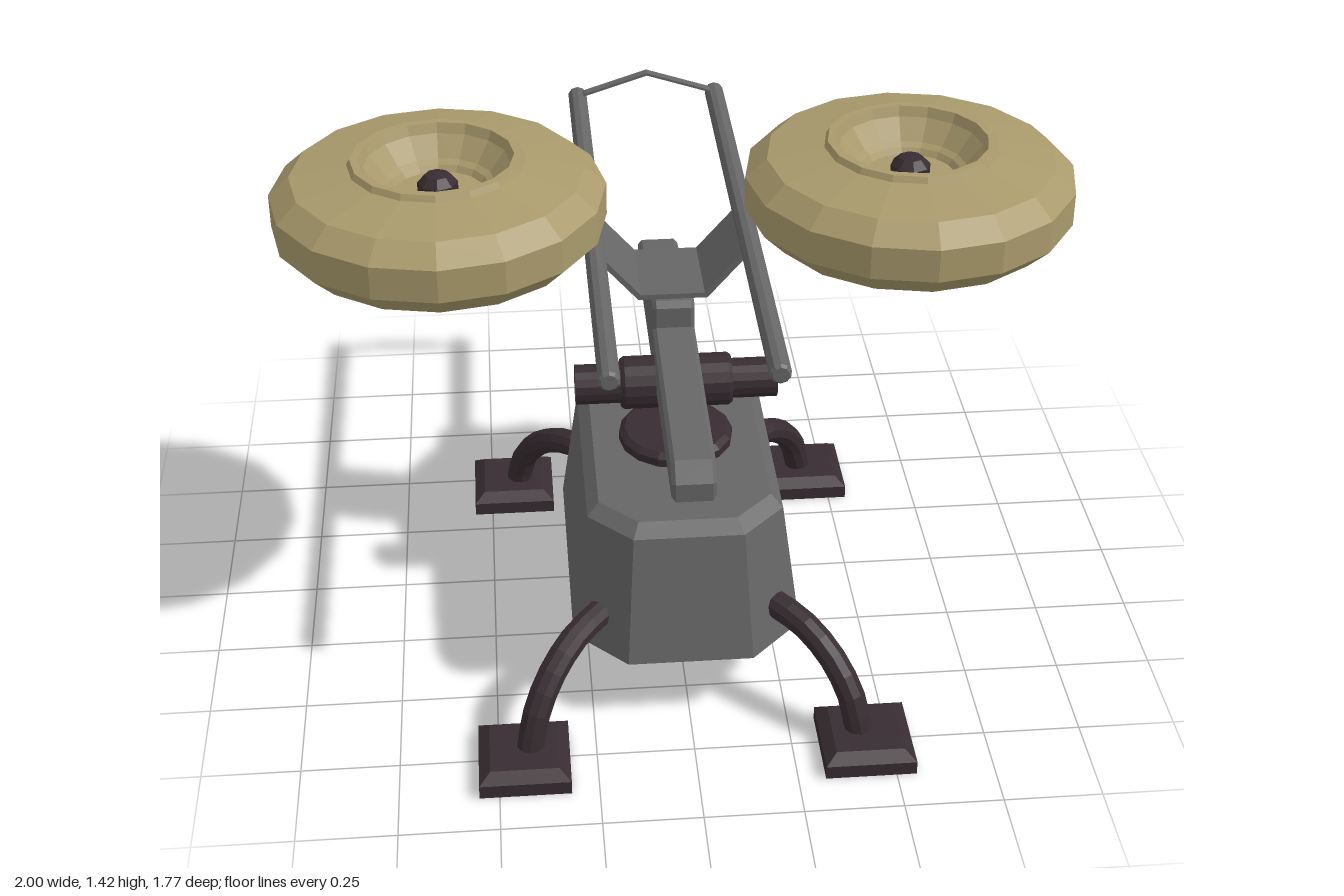
import * as THREE from 'three';

const mat = (color) => new THREE.MeshStandardMaterial({ color, flatShading: true, side: THREE.DoubleSide });
const V2 = (p) => new THREE.Vector2(p[0], p[1]);
const CZ = 0.16; // z of the turret axis

export function createModel() {
  const model = new THREE.Group();
  const grey = mat(0x666666), dark = mat(0x372c31), tan = mat(0xa99a6c);

  const add = (name, geo, material, x = 0, y = 0, z = 0, parent = model) => {
    const mesh = new THREE.Mesh(geo, material);
    mesh.name = name;
    mesh.position.set(x, y, z);
    parent.add(mesh);
    return mesh;
  };
  const lathe = (pts, n, start = 0) => new THREE.LatheGeometry(pts.map(V2), n, start);

  // Hollow base: stacked chamfered rectangles [y, halfX, halfZ, cornerCut]
  const levels = [[0.2, 0.295, 0.465, 0.135], [0.54, 0.25, 0.395, 0.11], [0.57, 0.22, 0.36, 0.095]];
  const pos = [], idx = [];
  for (const [y, a, b, c] of levels) {
    const ring = [[a, b - c], [a - c, b], [c - a, b], [-a, b - c], [-a, c - b], [c - a, -b], [a - c, -b], [a, c - b]];
    for (const [x, z] of ring) pos.push(x, y, z);
  }
  for (let l = 0; l < 2; l++) for (let i = 0; i < 8; i++) {
    const p = l * 8 + i, q = l * 8 + (i + 1) % 8;
    idx.push(p, p + 8, q, q, p + 8, q + 8);
  }
  for (let i = 1; i < 7; i++) idx.push(16, 17 + i, 16 + i);
  // corners run clockwise from above, so turn every face outward
  for (let i = 0; i < idx.length; i += 3) [idx[i + 1], idx[i + 2]] = [idx[i + 2], idx[i + 1]];
  const baseGeo = new THREE.BufferGeometry();
  baseGeo.setAttribute('position', new THREE.Float32BufferAttribute(pos, 3));
  baseGeo.setIndex(fixWinding(pos, idx));
  baseGeo.computeVertexNormals();
  add('base', baseGeo, grey, 0, 0, 0.178);

  // Turntable on top of the base
  add('turntable', lathe([[0.15, 0.57], [0.15, 0.592], [0.135, 0.605], [0, 0.605]], 16), dark, 0, 0, CZ);

  // Open pivot tube with a thicker sleeve
  const pivot = lathe([[0.053, -0.263], [0.053, -0.145], [0.063, -0.145], [0.07, -0.135],
    [0.07, 0.135], [0.063, 0.145], [0.053, 0.145], [0.053, 0.263]], 16);
  pivot.rotateZ(Math.PI / 2);
  add('pivot', pivot, dark, 0, 0.745, CZ);

  // Arm beam, side profile [z, y]
  const beam = new THREE.ExtrudeGeometry(new THREE.Shape([
    [0.70, 0.74], [0.70, 0.79], [0.66, 0.835], [0.105, 0.873], [0.105, 0.93], [0.09, 0.945],
    [-0.18, 0.945], [-0.195, 0.93], [-0.195, 0.867], [-0.44, 0.838], [-0.47, 0.80], [-0.47, 0.74],
  ].reverse().map(V2)), { depth: 0.09, bevelSize: 0.01, bevelThickness: 0.01, bevelOffset: -0.01, bevelSegments: 1 });
  beam.translate(0, 0, -0.045).rotateY(-Math.PI / 2);
  add('beam', beam, grey);

  // Folded cradle carrying the rails, front profile [x, y]
  const cradle = new THREE.ExtrudeGeometry(new THREE.Shape([
    [-0.09, 0.945], [0.09, 0.945], [0.198, 1.07], [0.184, 1.075],
    [0.083, 0.959], [-0.083, 0.959], [-0.184, 1.075], [-0.198, 1.07],
  ].map(V2)), { depth: 0.245, bevelEnabled: false });
  add('cradle', cradle, grey, 0, 0, -0.165);

  // Flat wire bow joining the rail ends
  const bow = new THREE.ExtrudeGeometry(new THREE.Shape([
    [-0.2, 1.09], [-0.18, 1.108], [0, 1.166], [0.18, 1.108], [0.2, 1.09],
    [0.2, 1.1], [0.18, 1.115], [0, 1.173], [-0.18, 1.115], [-0.2, 1.1],
  ].map(V2)), { depth: 0.028, bevelEnabled: false });
  add('railBow', bow, grey, 0, 0, -0.855);

  // Tan canopy profile and its hub
  const canopyGeo = lathe([[0.355, 1.187], [0.413, 1.245], [0.413, 1.33], [0.36, 1.378], [0.218, 1.405],
    [0.21, 1.42], [0.19, 1.42], [0.18, 1.395], [0.14, 1.345], [0.125, 1.335], [0.115, 1.32], [0, 1.32]], 16);
  const hubGeo = lathe([[0, 1.305], [0.05, 1.305], [0.05, 1.35], [0.03, 1.37], [0, 1.375]], 8);
  const railGeo = lathe([[0, -0.792], [0.02, -0.792], [0.027, -0.785], [0.027, 0.785], [0.02, 0.792], [0, 0.792]], 10);
  railGeo.rotateX(Math.PI / 2);
  const footGeo = lathe([[0.163, 0], [0.163, 0.037], [0.122, 0.06], [0, 0.06]], 4, Math.PI / 4);

  for (const s of [1, -1]) {
    const side = s > 0 ? 'left' : 'right';
    add(side + 'Rail', railGeo, grey, s * 0.2, 1.088, -0.092);
    add(side + 'Canopy', canopyGeo, tan, s * 0.585, 0, CZ);
    add(side + 'Hub', hubGeo, dark, s * 0.585, 0, CZ);

    // Curved legs with square feet
    for (const f of [1, -1]) {
      const leg = new THREE.Group();
      leg.name = side + (f > 0 ? 'FrontLeg' : 'RearLeg');
      const path = new THREE.CatmullRomCurve3([
        [0.225, 0.295, 0.375], [0.29, 0.28, 0.445], [0.355, 0.225, 0.52], [0.4, 0.14, 0.575], [0.42, 0.04, 0.6],
      ].map(([x, y, z]) => new THREE.Vector3(s * x, y, f * z)));
      add('strut', new THREE.TubeGeometry(path, 8, 0.036, 10), dark, 0, 0, 0, leg);
      add('foot', footGeo, dark, s * 0.435, 0, f * 0.605, leg);
      leg.position.z = 0.167;
      model.add(leg);
    }
  }
  return model;
}

// Orient the triangles of a convex shell away from its middle
function fixWinding(pos, idx) {
  const at = (i) => new THREE.Vector3().fromArray(pos, i * 3);
  const out = [], mid = new THREE.Vector3(0, 0.35, 0);
  for (let i = 0; i < idx.length; i += 3) {
    const [a, b, c] = idx.slice(i, i + 3);
    const n = at(b).sub(at(a)).cross(at(c).sub(at(a)));
    out.push(...(n.dot(at(a).sub(mid)) > 0 ? [a, b, c] : [a, c, b]));
  }
  return out;
}
